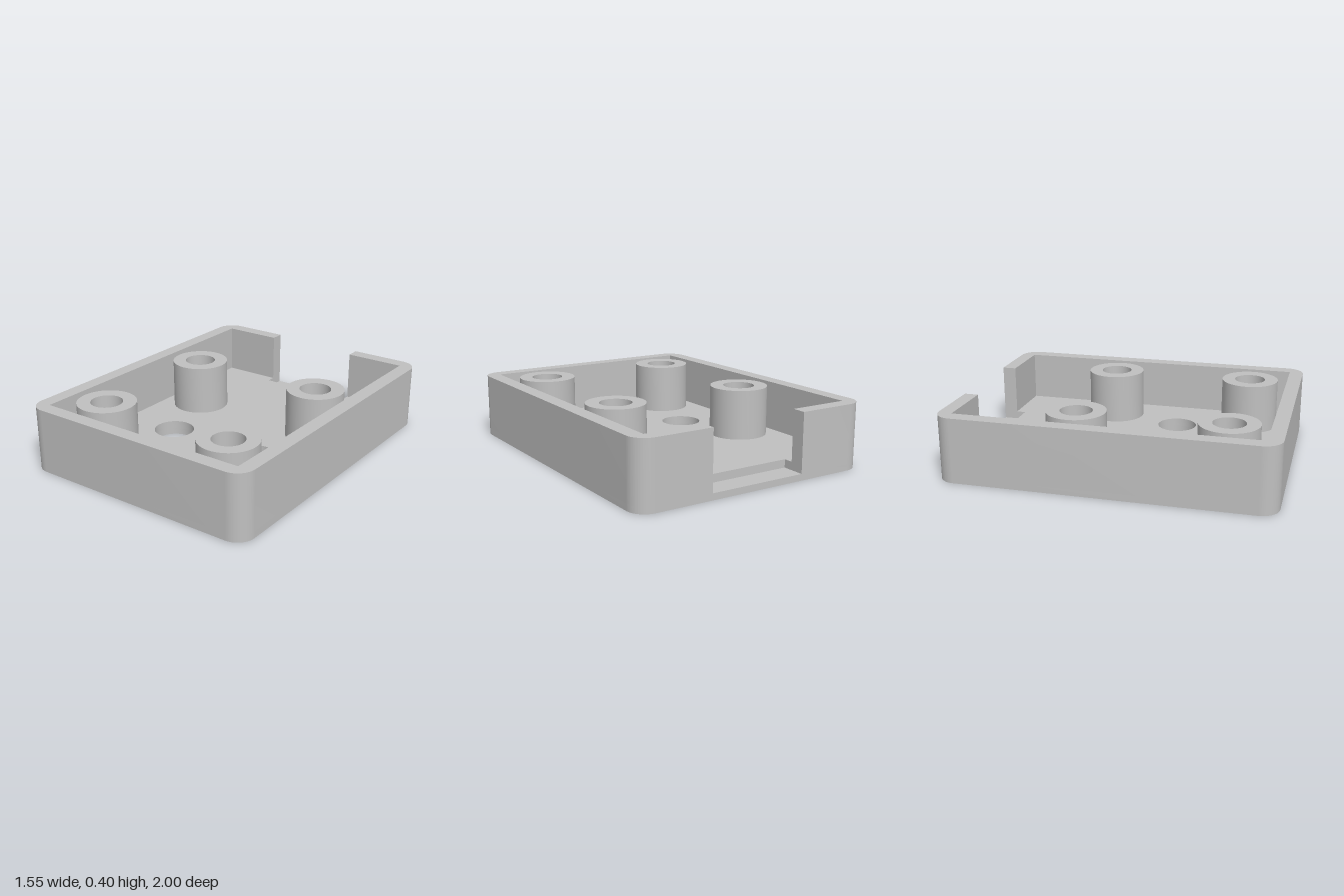
import * as THREE from 'three';
import { toCreasedNormals } from 'three/addons/utils/BufferGeometryUtils.js';

const W = 0.775, L = 1, H = 0.4;        // outer half width, half length, height
const IW = 0.685, IL = 0.913;           // inner half width and half length
const R = 0.11;                         // outer corner radius
const NOTCH = 0.31, NOTCH_Z = 0.855;    // half width and inner edge of the port cutout
const LEDGE = 0.04, FLOOR = 0.09;       // height of the cutout ledge and of the floor
const BOSS_R = 0.18, BORE_R = 0.0975, VENT_R = 0.125;

const bosses = [[-0.45, 0.23], [0.45, 0.23], [-0.45, -0.675], [0.45, -0.675]];
const vents = [[-0.315, -0.22], [0.315, -0.22]];

// Plans are drawn with the back (-z) pointing up.
function circle(x, y, r, Type = THREE.Path) {
  const p = new Type();
  p.absarc(x, y, r, 0, Math.PI * 2, false);
  return p;
}

function polygon(points) {
  return new THREE.Shape(points.map(([x, y]) => new THREE.Vector2(x, y)));
}

function addHoles(shape) {
  for (const [x, y] of bosses) shape.holes.push(circle(x, y, BORE_R));
  for (const [x, y] of vents) shape.holes.push(circle(x, y, VENT_R));
  return shape;
}

// Rounded outline running counter-clockwise from one side of the cutout to the other.
function outerOutline() {
  const s = new THREE.Shape();
  s.moveTo(-NOTCH, L);
  s.lineTo(-W + R, L);
  s.absarc(-W + R, L - R, R, Math.PI / 2, Math.PI, false);
  s.absarc(-W + R, -L + R, R, Math.PI, Math.PI * 1.5, false);
  s.absarc(W - R, -L + R, R, Math.PI * 1.5, Math.PI * 2, false);
  s.absarc(W - R, L - R, R, 0, Math.PI / 2, false);
  s.lineTo(NOTCH, L);
  return s;
}

export function createModel() {
  const group = new THREE.Group();
  const plastic = new THREE.MeshStandardMaterial({ color: 0xc0c0c0 });
  plastic.name = 'grey plastic';

  function addPlate(name, shape, bottom, top) {
    const raw = new THREE.ExtrudeGeometry(shape, {
      depth: top - bottom, bevelEnabled: false, curveSegments: 24,
    });
    raw.rotateX(-Math.PI / 2);
    raw.translate(0, bottom, 0);
    const mesh = new THREE.Mesh(toCreasedNormals(raw, Math.PI / 6), plastic);
    mesh.name = name;
    group.add(mesh);
  }

  // Bottom slab, which also forms the ledge of the cutout
  const base = outerOutline();
  base.closePath();
  addPlate('base', addHoles(base), 0, LEDGE);

  // Raised floor between the walls, stepped back at the cutout
  addPlate('floor', addHoles(polygon([
    [-IW, -IL], [IW, -IL], [IW, IL], [NOTCH, IL], [NOTCH, NOTCH_Z],
    [-NOTCH, NOTCH_Z], [-NOTCH, IL], [-IW, IL],
  ])), LEDGE, FLOOR);

  // Surrounding wall with square inner corners, open at the back
  const wall = outerOutline();
  for (const [x, y] of [[NOTCH, IL], [IW, IL], [IW, -IL], [-IW, -IL], [-IW, IL], [-NOTCH, IL]]) {
    wall.lineTo(x, y);
  }
  wall.closePath();
  addPlate('wall', wall, LEDGE, H);

  // Hollow screw posts
  for (const [x, y] of bosses) {
    const ring = circle(x, y, BOSS_R, THREE.Shape);
    ring.holes.push(circle(x, y, BORE_R));
    addPlate('screwPost', ring, FLOOR, H);
  }

  return group;
}
